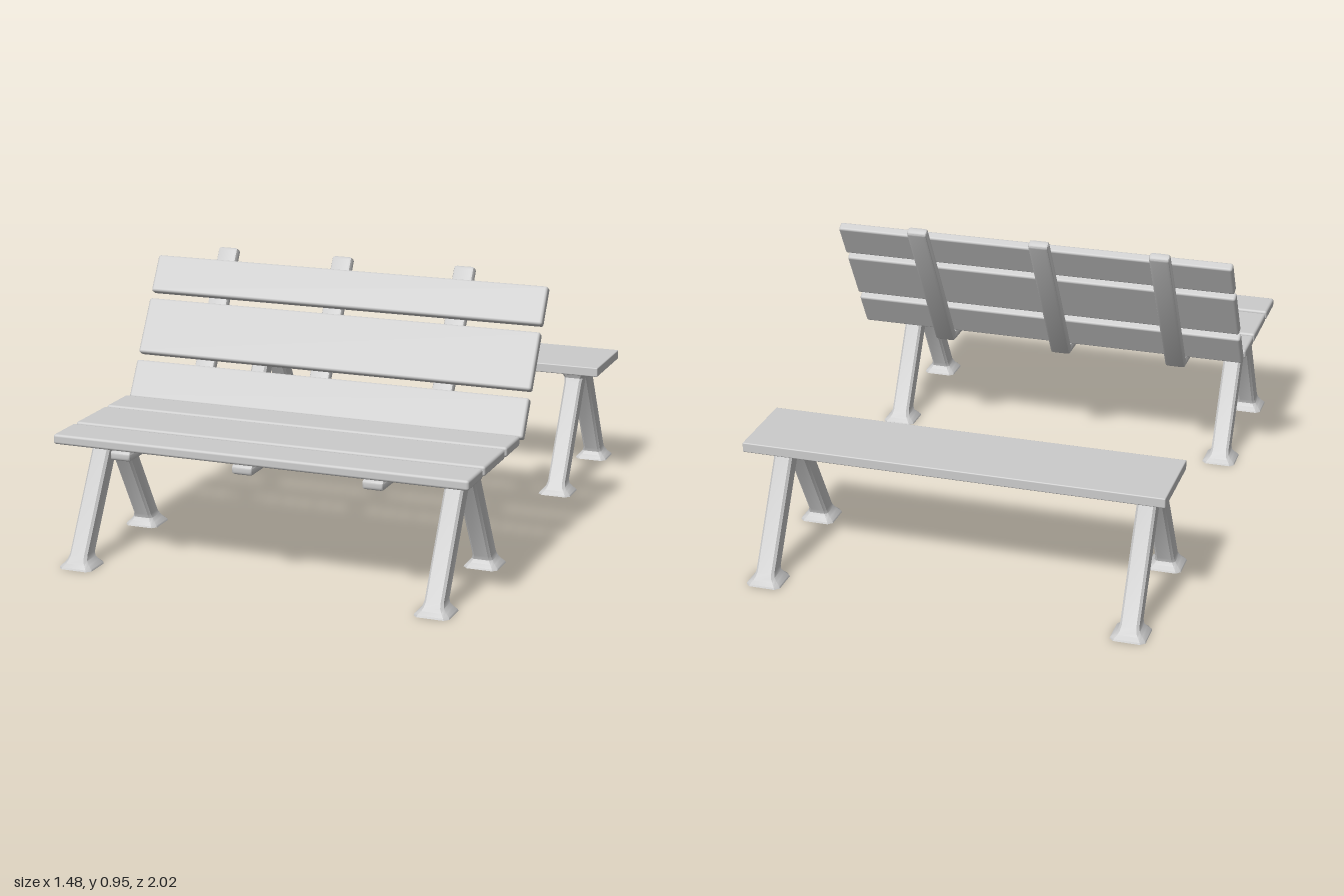
import * as THREE from 'three';
import { RoundedBoxGeometry } from 'three/addons/geometries/RoundedBoxGeometry.js';
import { toCreasedNormals } from 'three/addons/utils/BufferGeometryUtils.js';

const material = new THREE.MeshStandardMaterial({ color: 0xcccccc });
const LENGTH = 1.48, THICK = 0.035, LEAN = Math.PI / 6;

function addMesh(parent, name, geometry) {
  const mesh = new THREE.Mesh(geometry, material);
  mesh.name = name;
  parent.add(mesh);
  return mesh;
}

// Board running along x, with softened edges
function addPlank(parent, name, y, z, width, tilt = 0, radius = 0.009) {
  const plank = addMesh(parent, name, new RoundedBoxGeometry(LENGTH, THICK, width, 2, radius));
  plank.position.set(0, y, z);
  plank.rotation.x = tilt;
}

// Closed outline with every corner rounded
function roundedOutline(points, r) {
  const shape = new THREE.Shape();
  const v = points.map(([x, y]) => new THREE.Vector2(x, y));
  v.forEach((p, i) => {
    const prev = v[(i + v.length - 1) % v.length], next = v[(i + 1) % v.length];
    const a = prev.clone().sub(p).setLength(r).add(p);
    const b = next.clone().sub(p).setLength(r).add(p);
    if (i === 0) shape.moveTo(a.x, a.y); else shape.lineTo(a.x, a.y);
    shape.quadraticCurveTo(p.x, p.y, b.x, b.y);
  });
  shape.closePath();
  return shape;
}

// Bent bearer under the seat and behind the backrest
function bearerGeometry() {
  const shape = roundedOutline([
    [0.97, 0.396], [0.35, 0.396], [0.036, 0.938], [0.066, 0.956], [0.371, 0.429], [0.97, 0.429],
  ], 0.012);
  const geometry = new THREE.ExtrudeGeometry(shape, {
    depth: 0.055, bevelThickness: 0.01, bevelSize: 0.008, bevelOffset: -0.008,
    bevelSegments: 2, curveSegments: 4,
  });
  geometry.translate(0, 0, -0.0275);
  geometry.rotateY(-Math.PI / 2);
  return toCreasedNormals(geometry, 0.7);
}

// Leaning leg lofted from chamfered squares, flared at foot and top: [y, halfX, halfZ]
const LEG_SECTIONS = [
  [0, 0.061, 0.061], [0.006, 0.059, 0.059], [0.018, 0.046, 0.048], [0.03, 0.037, 0.041],
  [0.045, 0.033, 0.037], [0.385, 0.033, 0.037], [0.4, 0.036, 0.039], [0.416, 0.044, 0.048],
  [0.432, 0.053, 0.058],
];
function legGeometry(direction) {
  const corners = [[1, 0.75], [0.75, 1], [-0.75, 1], [-1, 0.75], [-1, -0.75], [-0.75, -1], [0.75, -1], [1, -0.75]];
  const n = corners.length, positions = [], index = [];
  for (const [y, hx, hz] of LEG_SECTIONS) {
    // the shaft leans; foot and top pads stay square to the ground
    const t = THREE.MathUtils.clamp((y - 0.045) / 0.34, -0.04, 1.06);
    const z = direction * THREE.MathUtils.lerp(0.245, 0.049, t);
    for (const [cx, cz] of corners) positions.push(cx * hx, y, z + cz * hz);
  }
  const last = LEG_SECTIONS.length - 1;
  for (let s = 0; s < last; s++) {
    for (let i = 0; i < n; i++) {
      const a = s * n + i, b = s * n + (i + 1) % n;
      index.push(a, a + n, b, b, a + n, b + n);
    }
  }
  for (let i = 1; i < n - 1; i++) {
    index.push(0, i, i + 1);
    index.push(last * n, last * n + i + 1, last * n + i);
  }
  const geometry = new THREE.BufferGeometry();
  geometry.setAttribute('position', new THREE.Float32BufferAttribute(positions, 3));
  geometry.setIndex(index);
  return toCreasedNormals(geometry, 0.6);
}

// Two splayed pairs of legs beneath one bench
function addLegs(parent, z) {
  for (const [side, x] of [['right', -0.657], ['left', 0.628]]) {
    for (const [end, direction] of [['Front', 1], ['Back', -1]]) {
      addMesh(parent, `${side}${end}Leg`, legGeometry(direction)).position.set(x, 0, z);
    }
  }
}

export function createModel() {
  const model = new THREE.Group();
  model.name = 'benches';

  // Bench with backrest
  const bench = new THREE.Group();
  bench.name = 'backedBench';
  model.add(bench);
  [[0.497, 0.15], [0.695, 0.218], [0.896, 0.148]].forEach(([z, width], i) =>
    addPlank(bench, `seatPlank${i + 1}`, 0.447, z, width));
  [[0.503, 0.348, 0.144], [0.679, 0.248, 0.208], [0.852, 0.149, 0.14]].forEach(([y, z, width], i) =>
    addPlank(bench, `backPlank${i + 1}`, y, z, width, Math.PI / 2 - LEAN));
  [-0.489, -0.044, 0.415].forEach((x, i) => {
    addMesh(bench, `bearer${i + 1}`, bearerGeometry()).position.x = x;
  });
  addLegs(bench, 0.695);

  // Backless bench behind it
  const plainBench = new THREE.Group();
  plainBench.name = 'plainBench';
  model.add(plainBench);
  addPlank(plainBench, 'seatBoard', 0.447, -0.703, 0.305, 0, 0.004);
  addLegs(plainBench, -0.694);

  return model;
}
